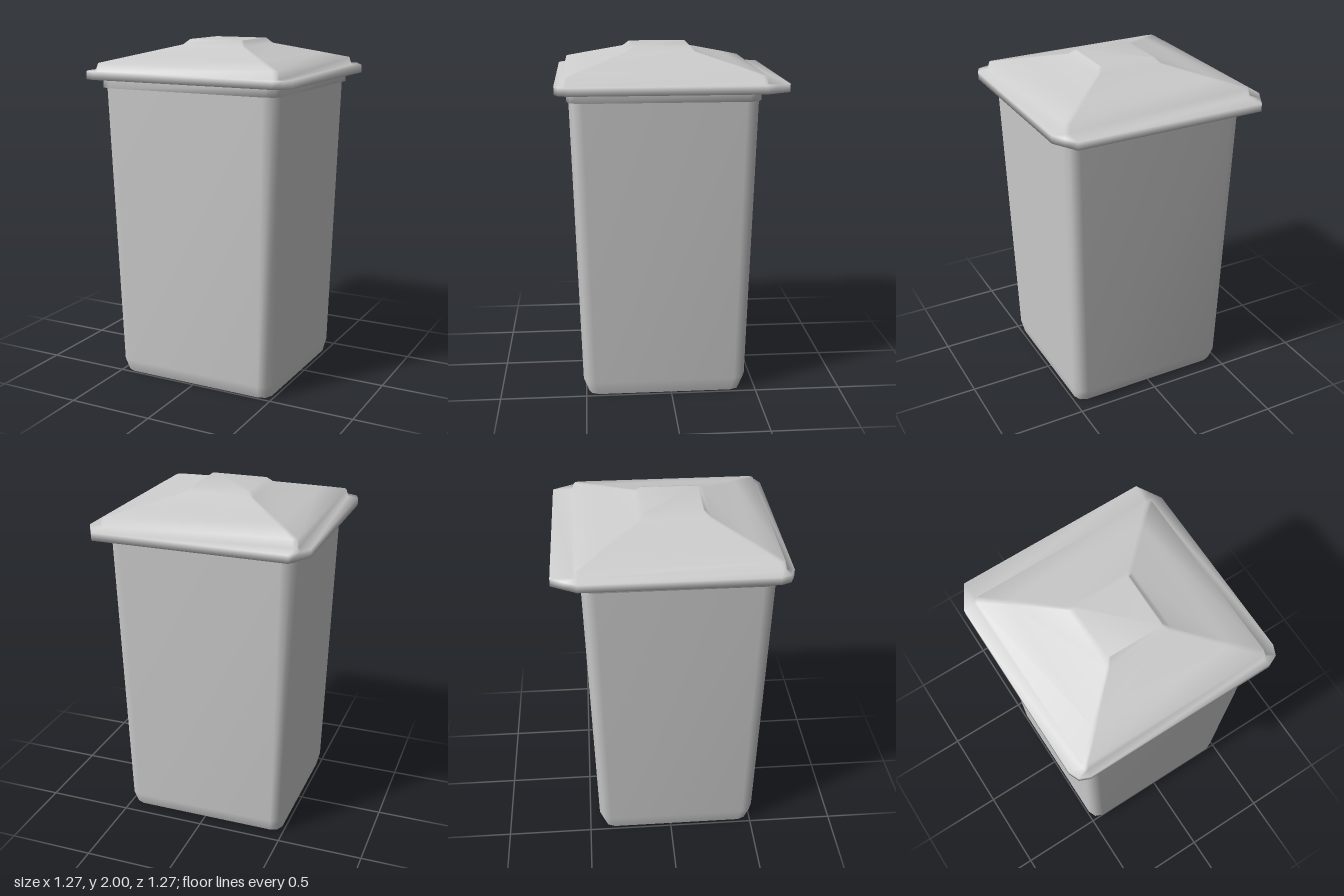
import * as THREE from 'three';

const material = new THREE.MeshStandardMaterial({ color: 0xcccccc, side: THREE.DoubleSide });

// Cross-section at height y: a rectangle with cut corners, three points per corner.
// cut = corner size, backCut = corner depth along z at the back, backBulge = 0.5 for a straight chamfer.
function ring(y, x, back, front, cut, backCut = cut, backBulge = 0.7) {
  const right = [
    [x - cut, front, 0],
    [x - cut * 0.3, front - cut * 0.3, 0],
    [x, front - cut, 0],
    [x, back + backCut],
    [x - cut * (1 - backBulge), back + backCut * (1 - backBulge)],
    [x - cut, back],
  ];
  const left = right.map(([px, pz]) => [-px, pz]).reverse();
  return [...right, ...left].map(([px, pz]) => [px, y, pz]);
}

// Smooth skin through the rings, from bottom to top, with an optional top cap.
function loft(name, rings, cap) {
  const n = rings[0].length;
  const points = rings.flat();
  const index = [];
  for (let r = 0; r < rings.length - 1; r++) {
    for (let i = 0; i < n; i++) {
      const a = r * n + i;
      const b = r * n + ((i + 1) % n);
      index.push(a, b, b + n, a, b + n, a + n);
    }
  }
  if (cap) {
    const start = (rings.length - 1) * n;
    for (let i = 1; i < n - 1; i++) index.push(start, start + i, start + i + 1);
  }
  const geometry = new THREE.BufferGeometry();
  geometry.setAttribute('position', new THREE.Float32BufferAttribute(points.flat(), 3));
  geometry.setIndex(index);
  geometry.computeVertexNormals();
  const mesh = new THREE.Mesh(geometry, material);
  mesh.name = name;
  return mesh;
}

export function createModel() {
  const group = new THREE.Group();
  group.name = 'bin';

  // Tapered container, open underneath
  group.add(loft('container', [
    ring(0, 0.48, -0.41, 0.485, 0.06),
    ring(0.08, 0.497, -0.44, 0.515, 0.07),
    ring(1.74, 0.543, -0.482, 0.562, 0.075),
  ], false));

  // Collar under the lid
  group.add(loft('collar', [
    ring(1.735, 0.535, -0.475, 0.555, 0.07),
    ring(1.735, 0.56, -0.492, 0.572, 0.07),
    ring(1.785, 0.56, -0.492, 0.572, 0.07),
  ], false));

  // Lid: flat brim with chamfered back corners, shallow hipped dome and raised flat top
  group.add(loft('lid', [
    ring(1.785, 0.555, -0.487, 0.567, 0.07),
    ring(1.785, 0.635, -0.637, 0.637, 0.08, 0.14, 0.5),
    ring(1.83, 0.635, -0.637, 0.637, 0.08, 0.14, 0.5),
    ring(1.83, 0.57, -0.52, 0.6, 0.025),
    ring(1.875, 0.56, -0.508, 0.587, 0.025),
    ring(1.912, 0.42, -0.375, 0.455, 0.02),
    ring(1.97, 0.2, -0.158, 0.242, 0.015),
    ring(2, 0.17, -0.13, 0.205, 0.012),
  ], true));

  return group;
}
